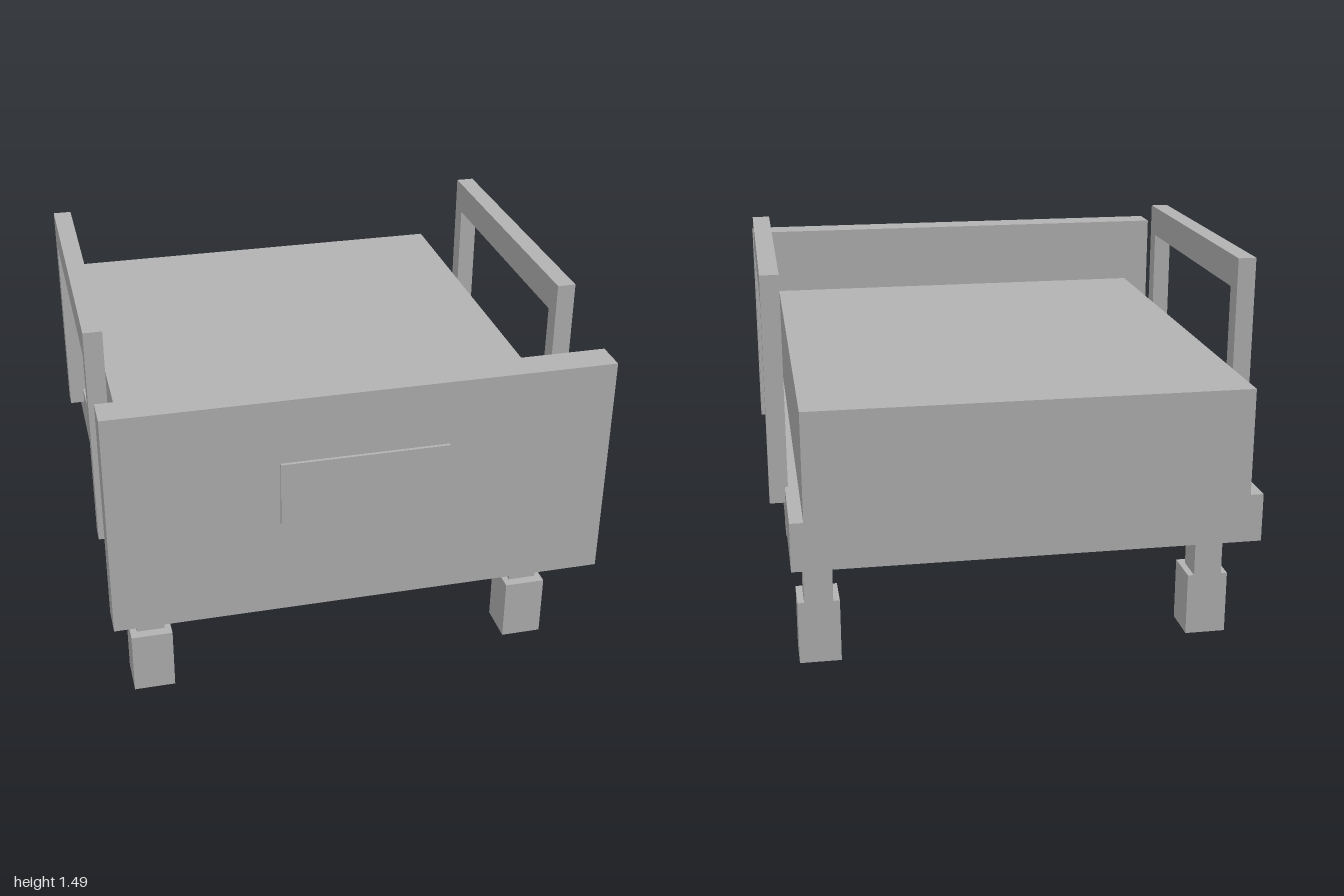
import * as THREE from 'three';

export function createModel() {
  const model = new THREE.Group();
  model.name = 'bed';
  const grey = new THREE.MeshStandardMaterial({ color: 0xb2b2b2 });
  grey.name = 'plain grey';

  // Box given by its lower and upper limits on each axis
  function box(name, [x0, x1], [y0, y1], [z0, z1], parent = model) {
    const mesh = new THREE.Mesh(new THREE.BoxGeometry(x1 - x0, y1 - y0, z1 - z0), grey);
    mesh.position.set((x0 + x1) / 2, (y0 + y1) / 2, (z0 + z1) / 2);
    mesh.name = name;
    parent.add(mesh);
  }

  // Bed base, mattress and end board with its raised panel
  box('base', [-0.87, 0.87], [0.5, 0.685], [-1, 0.865]);
  box('mattress', [-0.82, 0.82], [0.685, 1.093], [-1, 0.865]);
  box('endBoard', [-0.928, 0.928], [0.5, 1.368], [0.865, 0.988]);
  box('endPanel', [-0.31, 0.31], [0.875, 1.12], [0.988, 1]);

  // Side rail: an upside-down U, extruded sideways
  const rail = new THREE.Shape();
  [[-0.565, 0.622], [-0.565, 1.493], [0.627, 1.493], [0.627, 0.622],
    [0.552, 0.622], [0.552, 1.37], [-0.495, 1.37], [-0.495, 0.622]]
    .forEach(([u, v], i) => (i ? rail.lineTo(u, v) : rail.moveTo(u, v)));
  const railGeometry = new THREE.ExtrudeGeometry(rail, { depth: 0.07, bevelEnabled: false });
  railGeometry.rotateY(Math.PI / 2);

  for (const side of [-1, 1]) {
    const label = side > 0 ? 'left' : 'right';
    const mesh = new THREE.Mesh(railGeometry, grey);
    mesh.position.x = side > 0 ? 0.858 : -0.928;
    mesh.name = `${label}Rail`;
    model.add(mesh);

    // Legs: thin post on a wider foot, flush at the back
    for (const [end, z] of [['Front', 0.557], ['Back', -0.723]]) {
      const leg = new THREE.Group();
      leg.name = `${label}${end}Leg`;
      const x = side * 0.764;
      box('post', [x - 0.055, x + 0.055], [0.25, 0.5], [z, z + 0.122], leg);
      box('foot', [x - 0.08, x + 0.08], [0, 0.25], [z, z + 0.16], leg);
      model.add(leg);
    }
  }
  return model;
}
